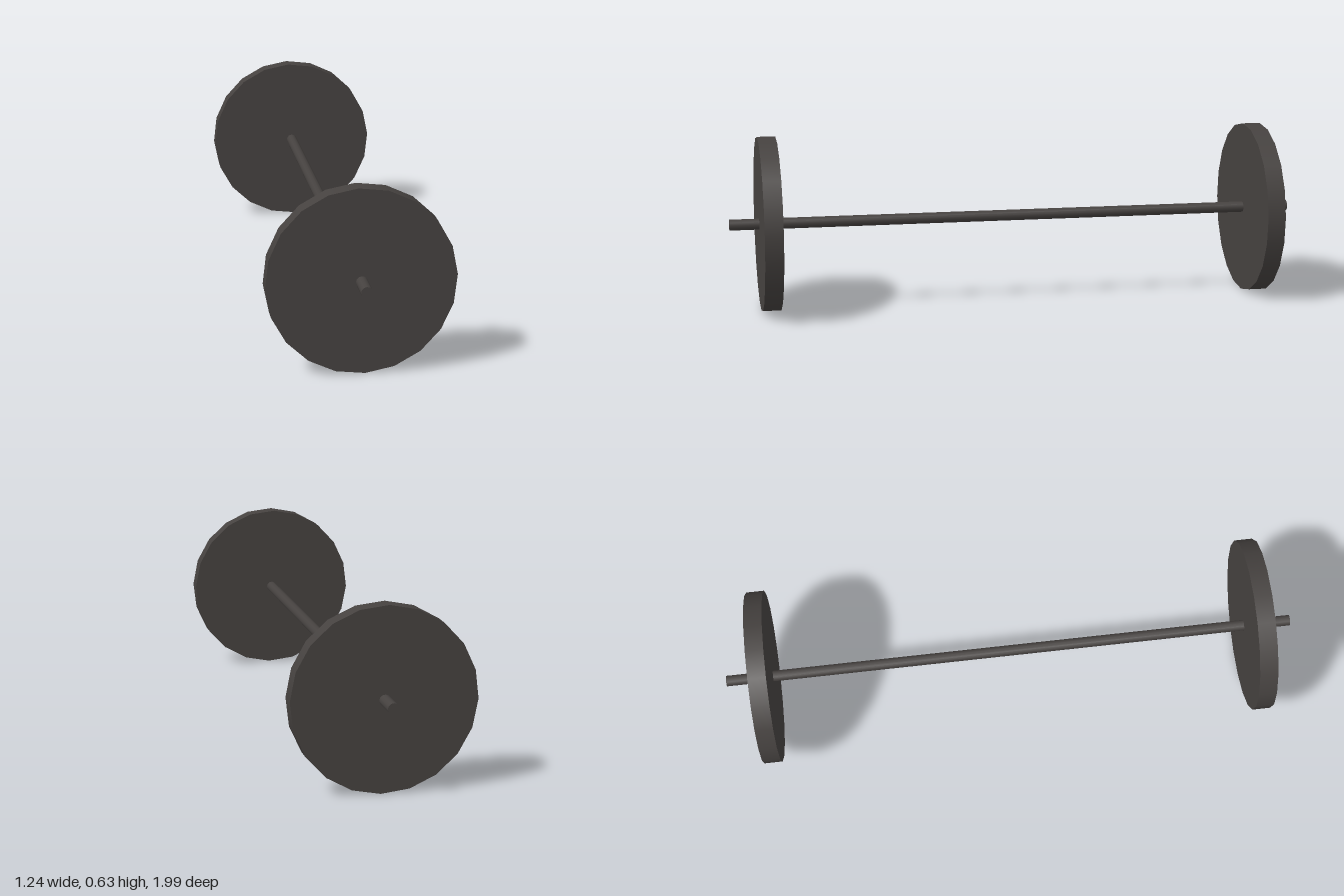
import * as THREE from 'three';

const PLATE_RADIUS = 0.317, PLATE_THICKNESS = 0.066, PLATE_OFFSET = 0.91;
const BAR_RADIUS = 0.02, BAR_LENGTH = 2.1;

export function createModel() {
  const iron = new THREE.MeshStandardMaterial({ color: 0x464240 });
  iron.name = 'darkIron';

  // Cylinder lying along z, rolled slightly about its axis
  const rod = (radius, length, sides) =>
    new THREE.CylinderGeometry(radius, radius, length, sides)
      .rotateX(Math.PI / 2)
      .rotateZ(THREE.MathUtils.degToRad(2.3));

  const barbell = new THREE.Group();
  barbell.name = 'barbell';

  // Long handle bar, poking out past both plates
  const bar = new THREE.Mesh(rod(BAR_RADIUS, BAR_LENGTH, 12), iron);
  bar.name = 'bar';
  barbell.add(bar);

  // One weight plate near each end
  const plateGeometry = rod(PLATE_RADIUS, PLATE_THICKNESS, 20);
  for (const [name, side] of [['frontPlate', 1], ['backPlate', -1]]) {
    const plate = new THREE.Mesh(plateGeometry, iron);
    plate.name = name;
    plate.position.z = side * PLATE_OFFSET;
    barbell.add(plate);
  }

  // Resting on the floor, turned at an angle
  barbell.position.y = PLATE_RADIUS;
  barbell.rotation.y = THREE.MathUtils.degToRad(20);

  const model = new THREE.Group();
  model.name = 'model';
  model.add(barbell);
  return model;
}
